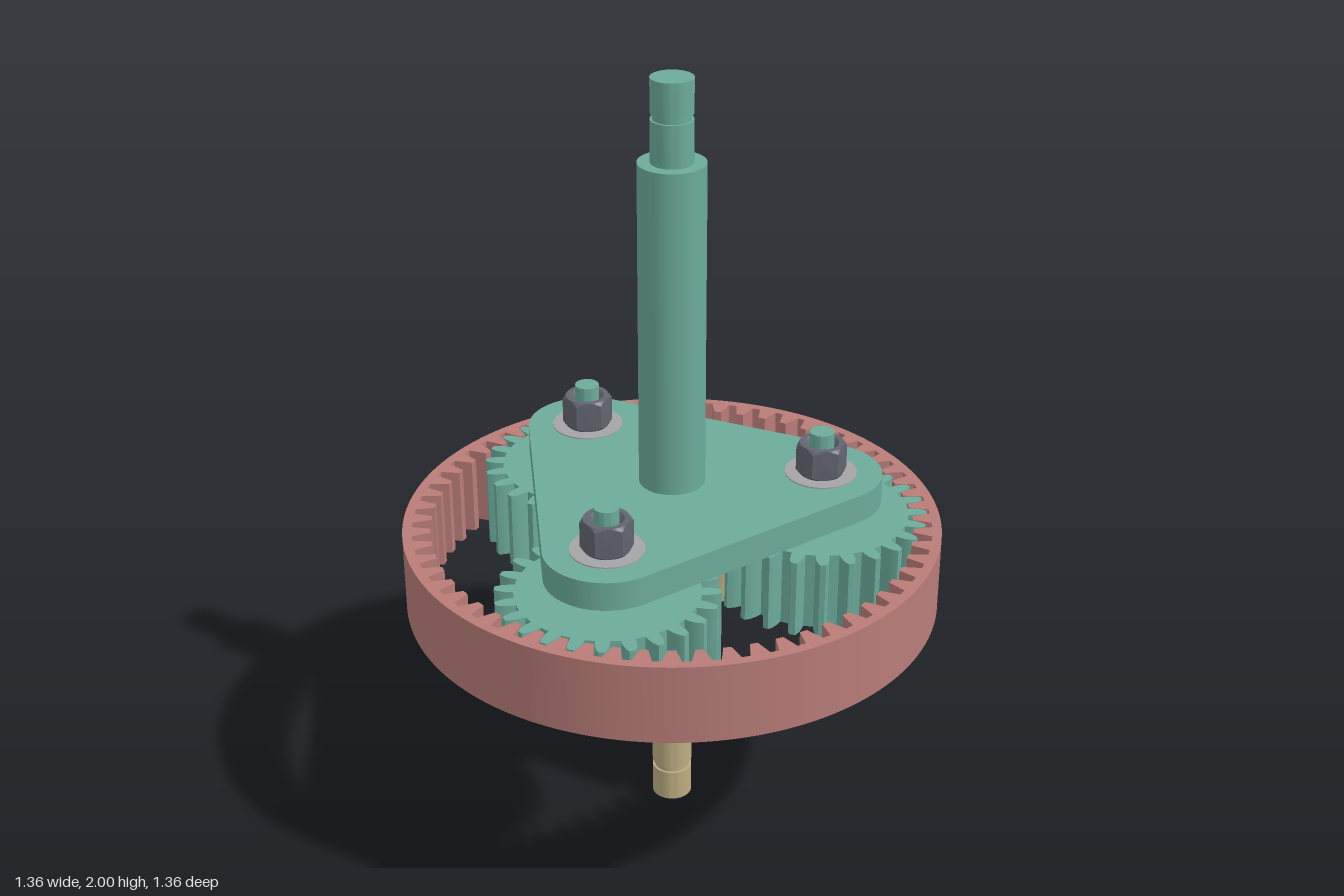
import * as THREE from 'three';
import { toCreasedNormals } from 'three/addons/utils/BufferGeometryUtils.js';

const mat = (name, color) => new THREE.MeshStandardMaterial({ name, color });

const MODULE = 0.021; // tooth size shared by every gear
const GEAR_Y = 0.635, GEAR_H = 0.207;
const ORBIT = 0.378; // distance of planets from the axis
const PLATE_Y = 0.88, PLATE_TOP = 0.955;

// Closed outline of teeth; steps are [pitch-relative radius, half width as a share of one pitch]
function toothOutline(teeth, steps, phase) {
  const pitch = (Math.PI * 2) / teeth, r0 = (MODULE * teeth) / 2, pts = [];
  for (let i = 0; i < teeth; i++) {
    const mid = (i + phase) * pitch;
    const add = (r, a) => pts.push(new THREE.Vector2(Math.cos(a) * (r0 + r), Math.sin(a) * (r0 + r)));
    for (const [r, w] of steps) add(r, mid - w * pitch);
    for (const [r, w] of [...steps].reverse()) add(r, mid + w * pitch);
  }
  return pts;
}
const EXTERNAL = [[-0.026, 0.29], [-0.011, 0.265], [0, 0.235], [0.013, 0.17], [0.021, 0.1]];
const INTERNAL = [[0.026, 0.34], [0.012, 0.29], [0, 0.24], [-0.021, 0.15]];

// Extrude a plan shape upwards from height y
function slab(shape, y, height, curveSegments = 24) {
  const g = new THREE.ExtrudeGeometry(shape, { depth: height, bevelEnabled: false, curveSegments });
  g.rotateX(-Math.PI / 2).translate(0, y, 0);
  return toCreasedNormals(g, 0.35);
}

// Turned part from [radius, height] pairs, listed bottom to top
function turned(profile, segments = 48) {
  const pts = profile.map(([r, y]) => new THREE.Vector2(r, y));
  return toCreasedNormals(new THREE.LatheGeometry(pts, segments), 0.5);
}

// Hexagonal nut with conical chamfers and a countersunk bore
function nutGeometry(height) {
  const flat = 0.056, bore = 0.03, rim = 0.1;
  const g = new THREE.LatheGeometry([
    [bore, 0], [flat, 0], [rim, 0], [rim, height], [flat, height], [0.043, height], [bore, height - 0.014],
  ].map(([r, y]) => new THREE.Vector2(r, y)), 48);
  const p = g.attributes.position;
  for (let i = 0; i < p.count; i++) {
    const x = p.getX(i), z = p.getZ(i), r = Math.hypot(x, z);
    if (r < 0.09) continue;
    const a = Math.atan2(x, z), sector = Math.PI / 3;
    const hex = flat / Math.cos(a - Math.round(a / sector) * sector);
    const drop = 0.002 + (hex - flat) * 0.9, y = p.getY(i);
    p.setXYZ(i, (x / r) * hex, y > height / 2 ? y - drop : y + drop, (z / r) * hex);
  }
  return toCreasedNormals(g, 0.35);
}

export function createModel() {
  const model = new THREE.Group();
  model.name = 'planetaryGearset';
  const teal = mat('teal', 0x6cab9b), rose = mat('rose', 0xb87c78), tan = mat('tan', 0xbcad82);
  const nutGrey = mat('darkGrey', 0x62656f), washerGrey = mat('lightGrey', 0xa4a4a6);

  const add = (name, geometry, material, parent = model) => {
    const mesh = new THREE.Mesh(geometry, material);
    mesh.name = name;
    parent.add(mesh);
    return mesh;
  };

  // Ring gear with inward teeth
  const ring = new THREE.Shape().absarc(0, 0, 0.68, 0, Math.PI * 2, false);
  ring.holes.push(new THREE.Path(toothOutline(60, INTERNAL, 0).reverse()));
  add('ringGear', slab(ring, GEAR_Y, GEAR_H, 96), rose);

  // Sun gear and its input shaft
  add('sunGear', slab(new THREE.Shape(toothOutline(12, EXTERNAL, 0)), GEAR_Y, GEAR_H), tan);
  add('inputShaft', turned([
    [0, 0], [0.052, 0], [0.052, 0.085], [0.046, 0.085], [0.046, 0.1], [0.052, 0.1],
    [0.052, 0.213], [0.083, 0.213], [0.083, GEAR_Y + 0.002],
  ]), tan);

  // Carrier plate: rounded triangle around the three planet axes
  const plate = new THREE.Shape();
  for (let i = 0; i < 3; i++) {
    const a = (i * Math.PI * 2) / 3;
    plate.absarc(Math.cos(a) * ORBIT, Math.sin(a) * ORBIT, 0.155, a - Math.PI / 3, a + Math.PI / 3, false);
  }
  plate.closePath();
  add('carrierPlate', slab(plate, PLATE_Y, PLATE_TOP - PLATE_Y), teal);

  // Output shaft with a retaining groove
  add('outputShaft', turned([
    [0.083, PLATE_TOP - 0.005], [0.083, 1.795], [0.052, 1.795], [0.052, 1.9], [0.046, 1.9],
    [0.046, 1.915], [0.052, 1.915], [0.052, 2], [0, 2],
  ]), teal);

  // Planets, each with boss, stud, washer and nut
  const planet = slab(new THREE.Shape(toothOutline(24, EXTERNAL, 0.5)), GEAR_Y, GEAR_H);
  const gearTop = GEAR_Y + GEAR_H;
  const boss = turned([[0.083, gearTop - 0.002], [0.083, PLATE_Y + 0.002]]);
  const stud = turned([[0.031, PLATE_TOP - 0.01], [0.031, 1.07], [0, 1.07]], 32);
  const washer = turned([[0.091, PLATE_TOP - 0.002], [0.091, PLATE_TOP + 0.003], [0.03, PLATE_TOP + 0.003]]);
  const nut = nutGeometry(0.083);
  for (let i = 0; i < 3; i++) {
    const a = (i * Math.PI * 2) / 3;
    const unit = new THREE.Group();
    unit.name = 'planetUnit' + (i + 1);
    unit.position.set(Math.cos(a) * ORBIT, 0, Math.sin(a) * ORBIT);
    add('planetGear', planet, teal, unit);
    add('planetBoss', boss, teal, unit);
    add('stud', stud, teal, unit);
    add('washer', washer, washerGrey, unit);
    add('nut', nut, nutGrey, unit).position.y = PLATE_TOP + 0.002;
    model.add(unit);
  }
  return model;
}
